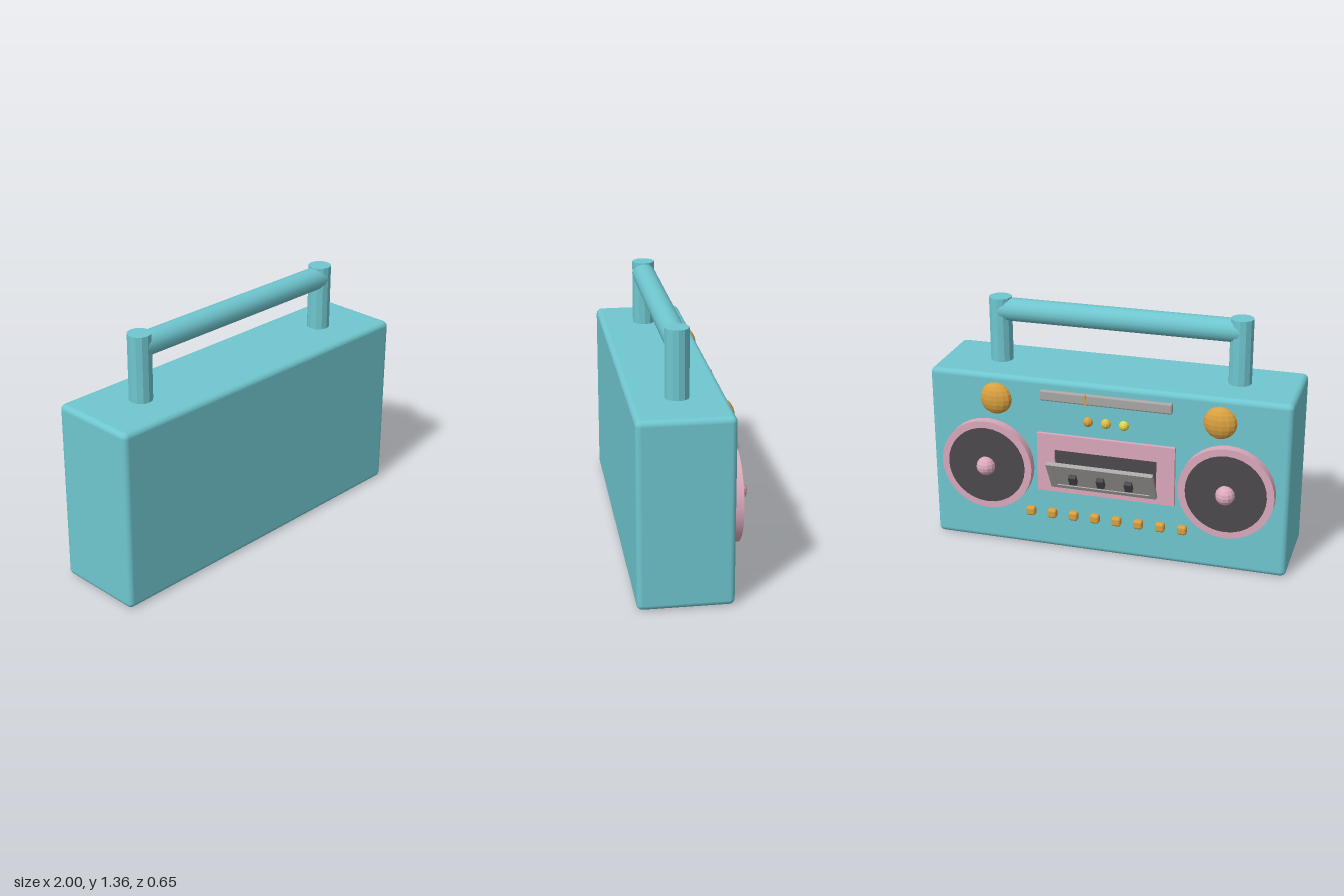
import * as THREE from 'three';
import { RoundedBoxGeometry } from 'three/addons/geometries/RoundedBoxGeometry.js';

const BACK = -0.175; // z of the face that carries the controls

const mat = (color, flatShading = false) => new THREE.MeshStandardMaterial({ color, flatShading });
const teal = mat(0x6fc6cf);
const tealFlat = mat(0x6fc6cf, true);
const pink = mat(0xdba9bb);
const pinkFlat = mat(0xdba9bb, true);
const dark = mat(0x4b494d);
const grey = mat(0xa9a7a5);
const gold = mat(0xd9a040);
const goldFlat = mat(0xd9a040, true);

function add(parent, name, geometry, material, x = 0, y = 0, z = 0) {
  const mesh = new THREE.Mesh(geometry, material);
  mesh.name = name;
  mesh.position.set(x, y, z);
  parent.add(mesh);
  return mesh;
}

// Rectangular frame extruded along z, starting at z = 0
function frameGeometry(w, h, holeW, holeH, holeY, depth) {
  const rect = (Type, rw, rh, cy) => {
    const r = new Type();
    r.moveTo(-rw / 2, cy - rh / 2);
    r.lineTo(rw / 2, cy - rh / 2);
    r.lineTo(rw / 2, cy + rh / 2);
    r.lineTo(-rw / 2, cy + rh / 2);
    r.closePath();
    return r;
  };
  const shape = rect(THREE.Shape, w, h, 0);
  shape.holes.push(rect(THREE.Path, holeW, holeH, holeY));
  return new THREE.ExtrudeGeometry(shape, { depth, bevelEnabled: false });
}

function createSpeaker(side) {
  const speaker = new THREE.Group();
  speaker.name = side > 0 ? 'leftSpeaker' : 'rightSpeaker';
  speaker.position.set(side * 0.67, 0.48, BACK);
  const disc = (r, d) => new THREE.CylinderGeometry(r, r, d, 32).rotateX(Math.PI / 2);
  add(speaker, 'speakerRim', disc(0.26, 0.06), pink, 0, 0, -0.02);
  add(speaker, 'speakerGrille', disc(0.22, 0.05), dark, 0, 0, -0.031);
  add(speaker, 'speakerDome', new THREE.SphereGeometry(0.053, 12, 8), pinkFlat, 0, 0, -0.062);
  return speaker;
}

function createTapeDeck() {
  const deck = new THREE.Group();
  deck.name = 'tapeDeck';
  deck.position.set(0, 0.525, BACK);
  add(deck, 'deckFrame', frameGeometry(0.77, 0.34, 0.57, 0.2, -0.02, 0.03), pink, 0, 0, -0.02);
  add(deck, 'deckOpening', new THREE.BoxGeometry(0.57, 0.2, 0.01), dark, 0, -0.02, -0.006);

  // Door hinged at its lower edge and tilted outward
  const door = new THREE.Group();
  door.name = 'deckDoor';
  door.position.set(0, -0.115, -0.03);
  door.rotation.x = -0.52;
  add(door, 'doorLining', new THREE.BoxGeometry(0.57, 0.18, 0.012), dark, 0, 0.1, 0);
  add(door, 'doorPanel', new THREE.BoxGeometry(0.54, 0.17, 0.012), grey, 0, 0.1, -0.012);
  add(door, 'doorBorder', frameGeometry(0.59, 0.2, 0.52, 0.15, 0, 0.024), grey, 0, 0.1, -0.024);
  for (const x of [-0.155, 0, 0.155]) {
    add(door, 'doorPeg', new THREE.BoxGeometry(0.04, 0.06, 0.03), dark, x, 0.1, -0.03);
  }
  deck.add(door);
  return deck;
}

export function createModel() {
  const model = new THREE.Group();
  model.name = 'portableStereo';

  add(model, 'body', new RoundedBoxGeometry(2, 1, 0.495, 3, 0.03), teal, 0, 0.5, 0.0725);

  // Carrying handle: two posts and a crossbar
  for (const side of [-1, 1]) {
    add(model, 'handlePost', new THREE.CylinderGeometry(0.063, 0.063, 0.38, 12), tealFlat,
      side * 0.67, 1.17, 0.073);
  }
  add(model, 'handleBar', new THREE.CylinderGeometry(0.064, 0.064, 1.34, 16).rotateZ(Math.PI / 2),
    teal, 0, 1.291, 0.073);

  // Speakers with a large flattened knob above each
  for (const side of [-1, 1]) {
    model.add(createSpeaker(side));
    const knob = add(model, 'largeKnob', new THREE.SphereGeometry(0.09, 14, 10), goldFlat,
      side * 0.62, 0.865, BACK);
    knob.scale.z = 0.58;
  }

  model.add(createTapeDeck());

  // Tuner strip with its needle
  add(model, 'tunerStrip', new RoundedBoxGeometry(0.73, 0.06, 0.04, 2, 0.01), grey, 0, 0.915, BACK);
  add(model, 'tunerNeedle', new THREE.BoxGeometry(0.012, 0.058, 0.01), gold, 0.11, 0.915, BACK - 0.019);

  // Three indicator lamps, shading from orange to yellow
  [0xd9a040, 0xdcc044, 0xdcd84c].forEach((color, i) => {
    add(model, 'indicatorLamp', new THREE.SphereGeometry(0.028, 10, 8), mat(color, true),
      0.1 - i * 0.1, 0.785, BACK);
  });

  // Row of push buttons along the bottom
  for (let i = 0; i < 8; i++) {
    add(model, 'pushButton', new RoundedBoxGeometry(0.052, 0.052, 0.055, 2, 0.014), gold,
      -0.43 + i * 0.123, 0.215, BACK - 0.003);
  }

  return model;
}
